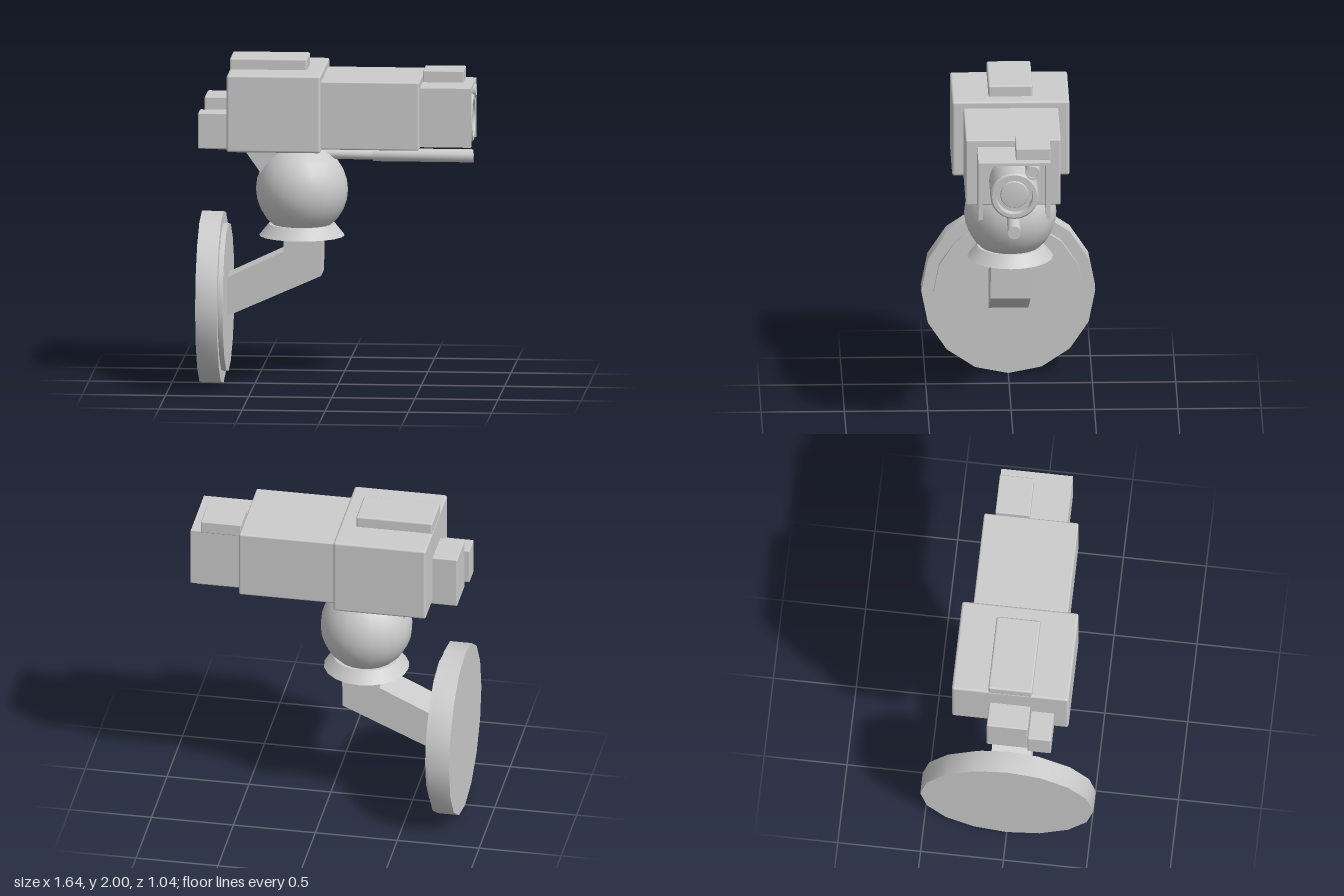
import * as THREE from 'three';
import { toCreasedNormals } from 'three/addons/utils/BufferGeometryUtils.js';
import { RoundedBoxGeometry } from 'three/addons/geometries/RoundedBoxGeometry.js';

const material = new THREE.MeshStandardMaterial({ color: 0xcccccc });
const doubleSided = new THREE.MeshStandardMaterial({ color: 0xcccccc, side: THREE.DoubleSide });

export function createModel() {
  const model = new THREE.Group();

  function add(name, geometry, mat = material) {
    const mesh = new THREE.Mesh(geometry, mat);
    mesh.name = name;
    model.add(mesh);
    return mesh;
  }

  // Box given by its limits on each axis, with softened edges
  function box(name, [x0, x1], [y0, y1], [z0, z1], radius = 0.008) {
    const g = radius
      ? new RoundedBoxGeometry(x1 - x0, y1 - y0, z1 - z0, 2, radius)
      : new THREE.BoxGeometry(x1 - x0, y1 - y0, z1 - z0);
    add(name, g).position.set((x0 + x1) / 2, (y0 + y1) / 2, (z0 + z1) / 2);
  }

  // Cylinder lying along x
  function rod(name, x0, x1, y, z, radius, sides) {
    const g = new THREE.CylinderGeometry(radius, radius, x1 - x0, sides);
    g.rotateZ(-Math.PI / 2);
    add(name, toCreasedNormals(g, 0.5)).position.set((x0 + x1) / 2, y, z);
  }

  // Lathed part whose profile [radius, x] turns about the x axis
  function turned(name, profile, y, z, sides) {
    const g = new THREE.LatheGeometry(profile.map(([r, x]) => new THREE.Vector2(r, x)), sides);
    g.rotateZ(-Math.PI / 2);
    add(name, toCreasedNormals(g, 0.5), doubleSided).position.set(0, y, z);
  }

  // Side profile in x-y, extruded symmetrically in z
  function slab(name, points, halfWidth) {
    const shape = new THREE.Shape(points.map(([x, y]) => new THREE.Vector2(x, y)));
    const g = new THREE.ExtrudeGeometry(shape, { depth: halfWidth * 2, bevelEnabled: false });
    g.translate(0, 0, -halfWidth);
    add(name, g);
  }

  // Wall mount and bent arm
  rod('wallDisc', -0.82, -0.69, 0.527, 0, 0.522, 16);
  rod('wallPlate', -0.69, -0.66, 0.527, 0, 0.45, 16);
  slab('arm', [[-0.67, 0.425], [-0.095, 0.68], [-0.09, 0.92], [-0.32, 0.92],
    [-0.32, 0.825], [-0.67, 0.66]], 0.12);

  // Ball joint
  const collar = new THREE.CylinderGeometry(0.2, 0.257, 0.07, 20);
  add('collar', toCreasedNormals(collar, 0.5)).position.set(-0.218, 0.945, 0);
  add('ball', new THREE.SphereGeometry(0.277, 20, 14)).position.set(-0.218, 1.19, 0);
  const neck = new THREE.CylinderGeometry(0.12, 0.12, 0.06, 20);
  add('neck', toCreasedNormals(neck, 0.5)).position.set(-0.218, 1.44, 0);
  slab('bracket', [[-0.58, 1.465], [-0.46, 1.295], [-0.3, 1.295], [-0.3, 1.465]], 0.08);

  // Main housing
  box('rearHousing', [-0.645, -0.08], [1.462, 1.932], [-0.352, 0.352], 0.015);
  box('middleHousing', [-0.1, 0.507], [1.475, 1.89], [-0.285, 0.285], 0.01);
  box('topCover', [-0.643, -0.178], [1.92, 2], [-0.132, 0.132], 0.012);
  box('backBox', [-0.795, -0.51], [1.442, 1.762], [-0.125, 0.122]);
  box('sideBackBox', [-0.823, -0.62], [1.468, 1.687], [0.125, 0.266]);

  // Lens hood, open in front and below
  for (const side of [-1, 1]) {
    box(side > 0 ? 'hoodWallLeft' : 'hoodWallRight', [0.5, 0.815], [1.487, 1.845],
      [side * 0.203 - 0.013, side * 0.203 + 0.013], 0);
  }
  box('hoodRoof', [0.5, 0.815], [1.829, 1.845], [-0.19, 0.19], 0);
  box('hoodTopBox', [0.508, 0.752], [1.84, 1.915], [-0.218, -0.01], 0.006);

  // Lens barrel with recessed glass, and a small sensor beside it
  turned('lensBarrel', [[0.145, 0.5], [0.145, 0.805], [0.135, 0.816], [0.112, 0.816],
    [0.108, 0.775], [0.085, 0.775], [0.08, 0.785], [0, 0.795]], 1.635, 0, 24);
  turned('sensor', [[0.043, 0.5], [0.043, 0.822], [0.029, 0.822], [0.029, 0.805],
    [0, 0.805]], 1.782, -0.11, 16);

  // Rod under the housing
  rod('thinRod', -0.1, 0.215, 1.403, 0, 0.03, 16);
  rod('thickRod', 0.21, 0.812, 1.403, 0, 0.04, 16);

  return model;
}
